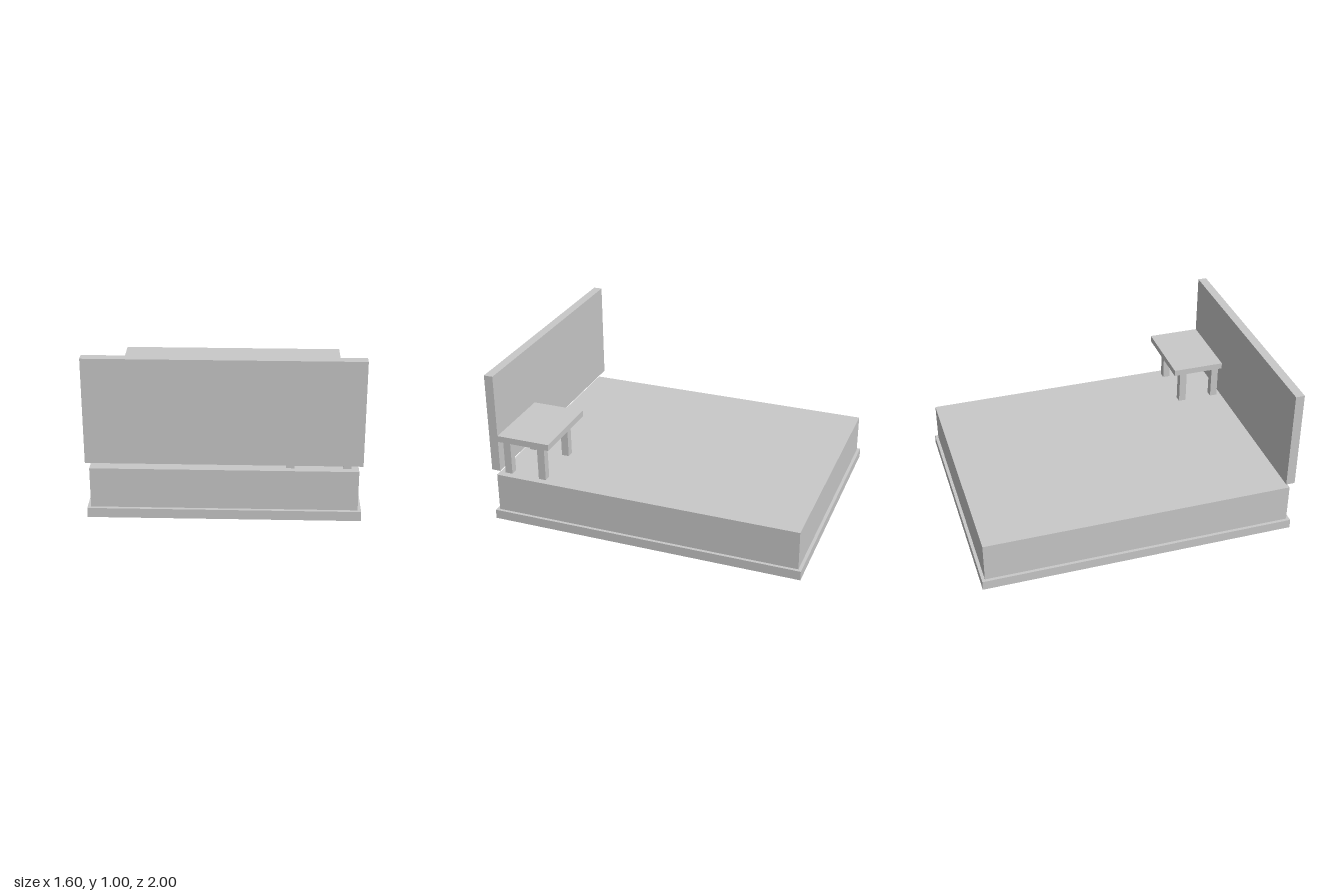
import * as THREE from 'three';

export function createModel() {
  const group = new THREE.Group();
  const grey = new THREE.MeshStandardMaterial({ color: 0xc8c8c8 });
  grey.name = 'light grey';

  // Box given by its minimum and maximum corners
  function box(name, [x0, y0, z0], [x1, y1, z1], parent = group) {
    const mesh = new THREE.Mesh(new THREE.BoxGeometry(x1 - x0, y1 - y0, z1 - z0), grey);
    mesh.position.set((x0 + x1) / 2, (y0 + y1) / 2, (z0 + z1) / 2);
    mesh.name = name;
    parent.add(mesh);
  }

  // Bed
  box('bedBase', [-0.8, 0, -1], [0.8, 0.06, 1]);
  box('mattress', [-0.78, 0.06, -0.98], [0.78, 0.31, 0.98]);
  box('headboard', [-0.8, 0.355, 0.943], [0.8, 1, 1]);

  // Small table standing on the mattress against the headboard
  const table = new THREE.Group();
  table.name = 'table';
  group.add(table);
  box('tableTop', [0.3, 0.56, 0.6], [0.8, 0.6, 0.943], table);
  for (const x of [0.383, 0.713]) {
    for (const z of [0.687, 0.919]) {
      box('tableLeg', [x - 0.024, 0.31, z - 0.024], [x + 0.024, 0.56, z + 0.024], table);
    }
  }
  return group;
}
